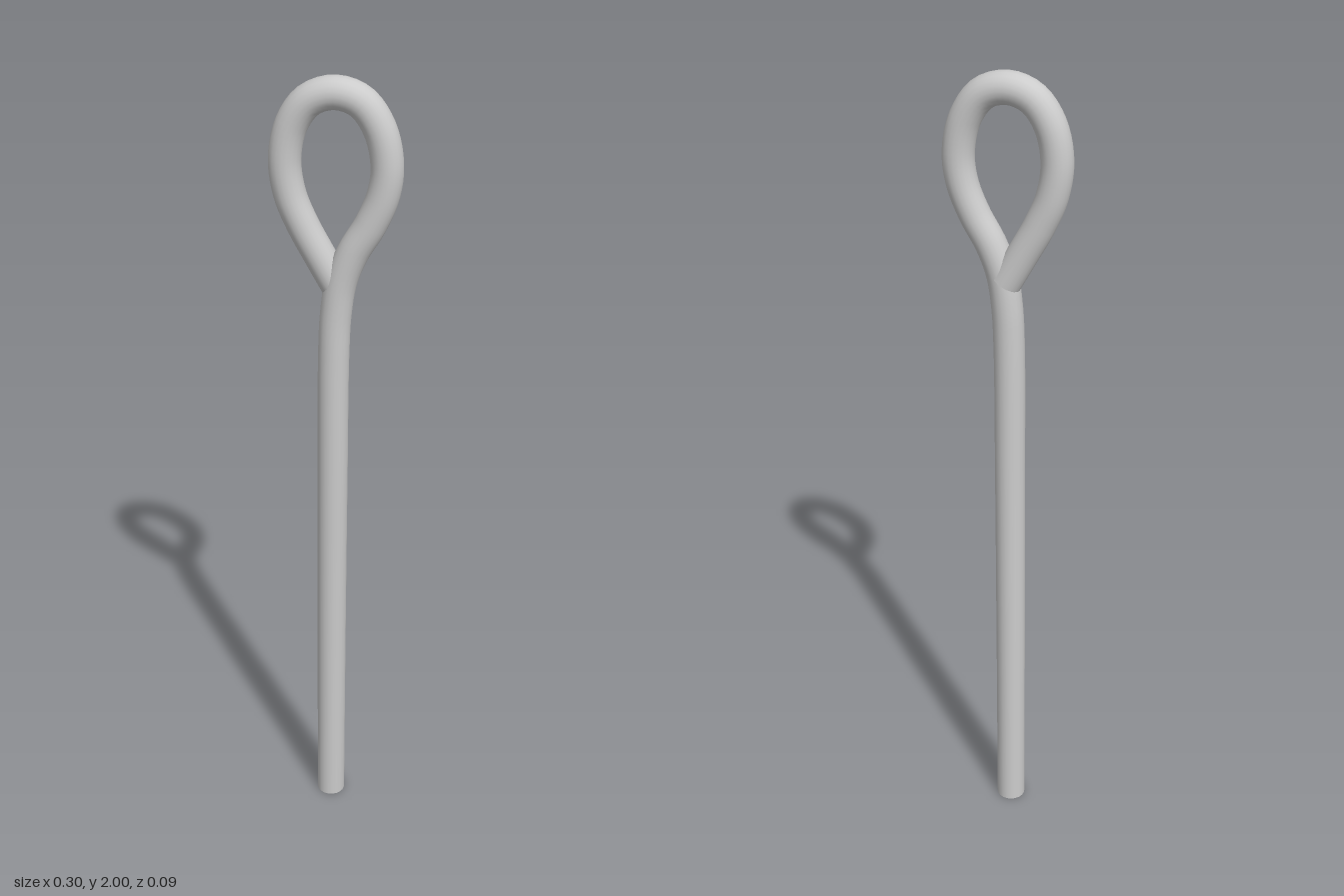
import * as THREE from 'three';

const RADIUS = 0.037;
const SIDES = 20;

export function createModel() {
  const group = new THREE.Group();
  group.name = 'eyePin';
  const material = new THREE.MeshStandardMaterial({ color: 0xcccccc });

  // Centre line: up the shaft, round the eye, down to the short tail
  const path = new THREE.CatmullRomCurve3([
    [-0.018, 0, -0.010],
    [-0.014, 0.5, -0.003],
    [-0.009, 1.0, 0.005],
    [-0.005, 1.35, 0.009],
    [0, 1.45, 0.009],
    [0.012, 1.53, 0.009],
    [0.038, 1.60, 0.009],
    [0.078, 1.67, 0.009],
    [0.106, 1.74, 0.009],
    [0.114, 1.81, 0.009],
    [0.096, 1.89, 0.009],
    [0.055, 1.946, 0.009],
    [-0.002, 1.963, 0.009],
    [-0.058, 1.944, 0.009],
    [-0.098, 1.89, 0.008],
    [-0.115, 1.81, 0.008],
    [-0.105, 1.73, 0.007],
    [-0.077, 1.66, 0.006],
    [-0.037, 1.585, 0.004],
    [0, 1.517, 0.001],
  ].map((p) => new THREE.Vector3(...p)), false, 'centripetal');

  const rod = new THREE.Mesh(new THREE.TubeGeometry(path, 160, RADIUS, SIDES), material);
  rod.name = 'bentRod';
  group.add(rod);

  // Flat caps on both cut ends
  for (const [name, t, sign] of [['shaftEnd', 0, -1], ['tailEnd', 1, 1]]) {
    const cap = new THREE.Mesh(new THREE.CircleGeometry(RADIUS, SIDES), material);
    cap.name = name;
    cap.position.copy(path.getPointAt(t));
    const outward = path.getTangentAt(t).multiplyScalar(sign);
    cap.quaternion.setFromUnitVectors(new THREE.Vector3(0, 0, 1), outward);
    group.add(cap);
  }
  return group;
}
